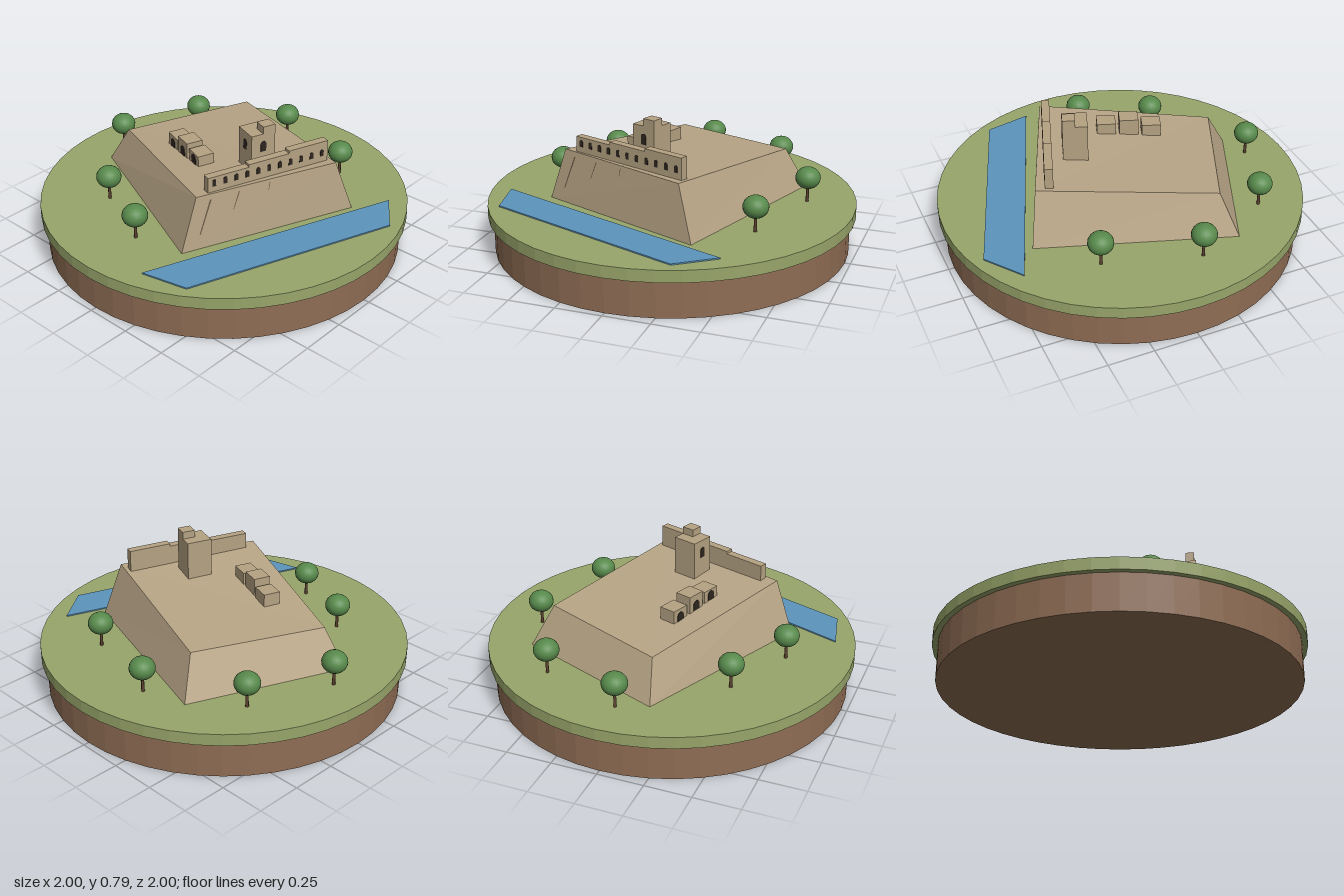
import * as THREE from 'three';

const mat = (name, color, opts = {}) => {
  const m = new THREE.MeshStandardMaterial({ color, ...opts });
  m.name = name;
  return m;
};

export function createModel() {
  const model = new THREE.Group();
  model.name = 'hilltopFortress';
  const grass = mat('grass', 0x98a56a, { flatShading: true });
  const soil = mat('soil', 0x8f6d54, { flatShading: true });
  const rock = mat('rock', 0xb8a586, { flatShading: true });
  const stone = mat('stone', 0xb5a282, { flatShading: true });
  const dark = mat('opening', 0x2e2620);
  const crackMat = mat('crack', 0x6a5a46, { side: THREE.DoubleSide });
  const water = mat('water', 0x5c94bc);
  const leaf = mat('leaf', 0x588a4c);
  const bark = mat('bark', 0x5c4030);

  const add = (parent, name, geo, material, x = 0, y = 0, z = 0) => {
    const mesh = new THREE.Mesh(geo, material);
    mesh.name = name;
    mesh.position.set(x, y, z);
    parent.add(mesh);
    return mesh;
  };

  // Round base
  add(model, 'soilDisc', new THREE.CylinderGeometry(0.97, 0.97, 0.2, 48), soil, 0, 0.1, 0);
  add(model, 'grassDisc', new THREE.CylinderGeometry(1, 1, 0.065, 48), grass, 0, 0.2325, 0);

  // Rock plateau: four sloping sides and a tilted top
  const foot = [[-0.39, 0.262, -0.66], [0.63, 0.262, -0.325], [0.26, 0.262, 0.605], [-0.725, 0.262, 0.17]];
  const rim = [[-0.32, 0.49, -0.55], [0.572, 0.557, -0.238], [0.272, 0.557, 0.505], [-0.602, 0.475, 0.135]];
  const pos = [];
  const quad = (a, b, c, d) => [a, b, c, a, c, d].forEach((p) => pos.push(...p));
  for (let i = 0; i < 4; i++) {
    const j = (i + 1) % 4;
    quad(foot[j], foot[i], rim[i], rim[j]);
  }
  quad(rim[3], rim[2], rim[1], rim[0]);
  quad(foot[0], foot[1], foot[2], foot[3]);
  const rockGeo = new THREE.BufferGeometry();
  rockGeo.setAttribute('position', new THREE.Float32BufferAttribute(pos, 3));
  rockGeo.computeVertexNormals();
  add(model, 'rockPlateau', rockGeo, rock);

  // Cracks lying on the river-side cliff: u runs along the face, v runs up it
  const corner = [foot[2], foot[1], rim[2], rim[1]].map((p) => new THREE.Vector3(...p));
  const onCliff = (u, v) => corner[0].clone().lerp(corner[1], u)
    .lerp(corner[2].clone().lerp(corner[3], u), v).add(new THREE.Vector3(0.004, 0.002, 0.002));
  [[0.08, 0.28, 0.1, 0.9, 0.012], [0.27, 0.6, 0.295, 0.92, 0.008], [0.5, 0.8, 0.51, 0.95, 0.006]]
    .forEach(([u0, v0, u1, v1, w]) => {
      const pts = [onCliff(u0, v0), onCliff(u0 + w * 0.6, v0), onCliff(u1 + w, v1), onCliff(u1, v1)];
      const geo = new THREE.BufferGeometry().setFromPoints(pts);
      geo.setIndex([0, 1, 2, 0, 2, 3]);
      geo.computeVertexNormals();
      add(model, 'cliffCrack', geo, crackMat);
    });

  // Thin arched plate, its base at y = 0, facing +z
  const arch = (w, h) => {
    const r = w / 2;
    const s = new THREE.Shape();
    s.moveTo(-r, 0);
    s.lineTo(r, 0);
    s.lineTo(r, h - r);
    s.absarc(0, h - r, r, 0, Math.PI, false);
    s.closePath();
    return new THREE.ExtrudeGeometry(s, { depth: 0.004, bevelEnabled: false, curveSegments: 8 });
  };
  // All buildings share one heading
  const building = (name, x, z) => {
    const g = new THREE.Group();
    g.name = name;
    g.position.set(x, 0, z);
    g.rotation.y = -0.333;
    model.add(g);
    return g;
  };
  const block = (g, name, w, d, y0, y1, x = 0, z = 0) =>
    add(g, name, new THREE.BoxGeometry(w, y1 - y0, d), stone, x, (y0 + y1) / 2, z);

  // Three small houses with arched doorways
  [[-0.227, 0.1, 0.57, 0.5], [-0.112, 0.144, 0.605, 0.518], [0.005, 0.182, 0.587, 0.527]]
    .forEach(([x, z, top, sill]) => {
      const g = building('house', x, z);
      block(g, 'houseWalls', 0.103, 0.092, 0.48, top);
      add(g, 'houseArch', arch(0.046, 0.052), dark, 0, sill, 0.045);
    });

  // Tower with a corner turret
  const tower = building('tower', 0.25, 0.022);
  block(tower, 'towerWalls', 0.133, 0.139, 0.5, 0.745);
  block(tower, 'turret', 0.067, 0.071, 0.74, 0.785, 0.033, -0.034);
  add(tower, 'towerFrontWindow', arch(0.032, 0.058), dark, 0, 0.645, 0.068);
  add(tower, 'towerSideWindow', arch(0.032, 0.058), dark, 0.065, 0.645, 0).rotation.y = Math.PI / 2;

  // Stepped wall along the cliff edge, with a row of arched windows
  const wall = building('cliffWall', 0.381, 0.093);
  [0.64, 0.655, 0.67].forEach((top, i) =>
    block(wall, 'wallSection', 0.044, 0.2355, 0.535, top, 0, 0.2355 * (1 - i)));
  for (let i = 0; i < 11; i++) {
    add(wall, 'wallWindow', arch(0.021, 0.038), dark, 0.02, 0.587, 0.318 - i * 0.0636).rotation.y = Math.PI / 2;
  }

  // River strip
  const bank = [[0.74, -0.51], [0.888, -0.31], [0.487, 0.805], [0.237, 0.86]];
  const riverShape = new THREE.Shape(bank.map(([x, z]) => new THREE.Vector2(x, -z)));
  const riverGeo = new THREE.ExtrudeGeometry(riverShape, { depth: 0.009, bevelEnabled: false });
  riverGeo.rotateX(-Math.PI / 2);
  add(model, 'river', riverGeo, water, 0, 0.263, 0);

  // Trees
  const crownGeo = new THREE.SphereGeometry(0.068, 20, 14).scale(1, 0.88, 1);
  const trunkGeo = new THREE.CylinderGeometry(0.007, 0.009, 0.1, 8);
  [[-0.148, -0.72], [0.355, -0.573], [-0.615, -0.45], [-0.782, 0.008], [-0.4, 0.48], [-0.018, 0.655]]
    .forEach(([x, z]) => {
      const tree = new THREE.Group();
      tree.name = 'tree';
      tree.position.set(x, 0, z);
      model.add(tree);
      add(tree, 'trunk', trunkGeo, bark, 0, 0.31, 0);
      add(tree, 'crown', crownGeo, leaf, 0, 0.4, 0);
    });

  return model;
}
